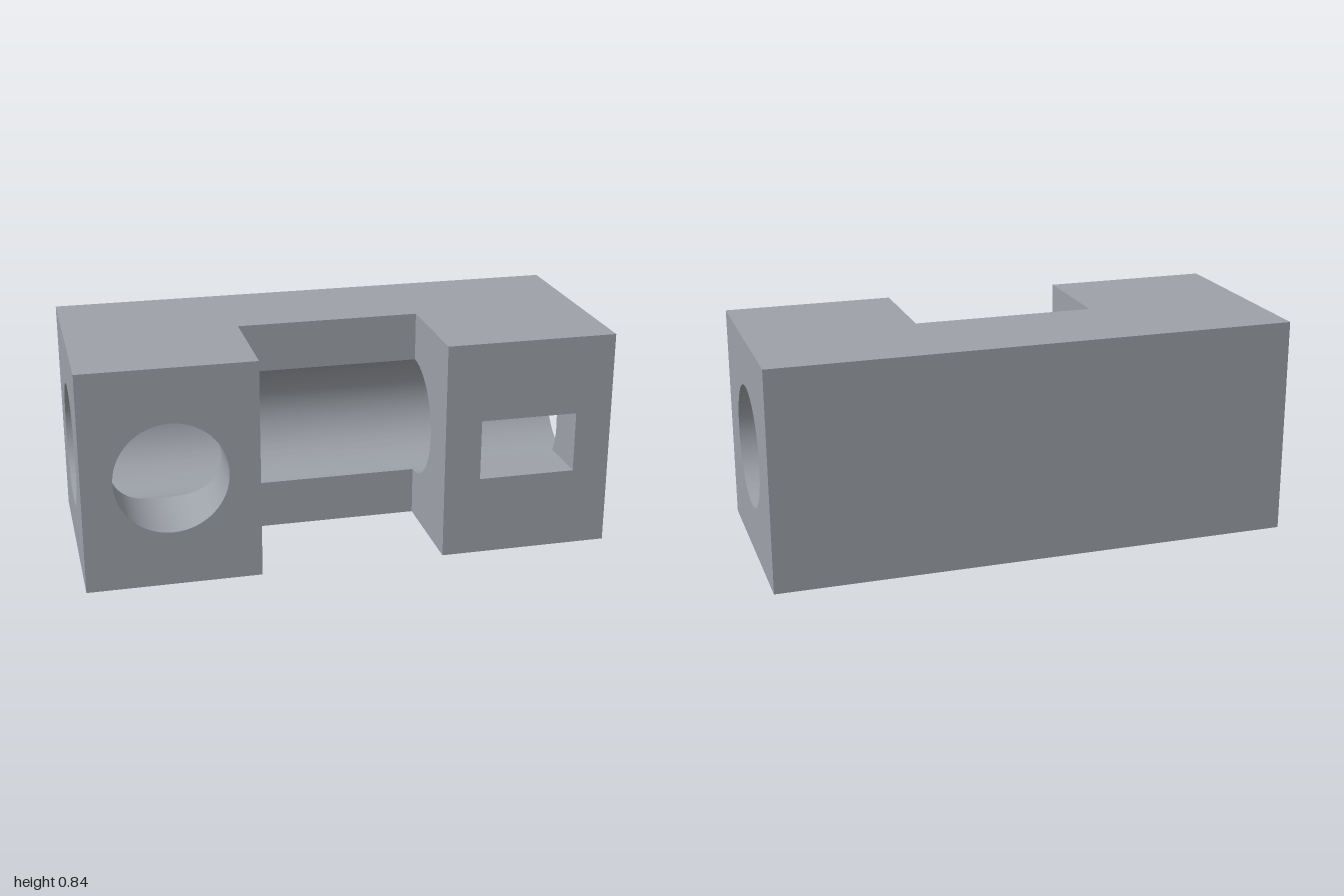
import * as THREE from 'three';
import { toCreasedNormals } from 'three/addons/utils/BufferGeometryUtils.js';

const L = 1;          // half length
const H = 0.4185;     // half height and half depth
const N = 0.349;      // half width of the front notch
const R = 0.2326;     // radius of the lengthwise bore
const C = 0.6745;     // distance of each front opening from the middle
const HOLE = 0.211;   // radius of the round opening
const WIN = { w: 0.186, h: 0.1163 }; // half size of the window
const SEG = 48;

const material = new THREE.MeshStandardMaterial({ color: 0x9da1a8 });
const X = new THREE.Vector3(1, 0, 0), Y = new THREE.Vector3(0, 1, 0), Z = new THREE.Vector3(0, 0, 1);
const neg = (v) => v.clone().negate();
const lerp = THREE.MathUtils.lerp;
const p2 = (x, y) => new THREE.Vector2(x, y);

const arc = (r, from, to, n, cx = 0) => Array.from({ length: n + 1 }, (_, i) => {
  const t = lerp(from, to, i / n);
  return p2(cx + r * Math.cos(t), r * Math.sin(t));
});
const rect = (x0, y0, x1, y1) => [p2(x0, y0), p2(x1, y0), p2(x1, y1), p2(x0, y1)];

// Flat face with optional hole, laid out on axes u and v and facing u x v
function panel(name, points, u, v, offset, hole) {
  const shape = new THREE.Shape(points);
  if (hole) shape.holes.push(new THREE.Path(hole));
  const n = new THREE.Vector3().crossVectors(u, v);
  const geo = new THREE.ShapeGeometry(shape);
  geo.applyMatrix4(new THREE.Matrix4().makeBasis(u, v, n).setPosition(n.clone().multiplyScalar(offset)));
  const mesh = new THREE.Mesh(geo, material);
  mesh.name = name;
  return mesh;
}

// Grid surface through f(i, j) -> [x, y, z]
function grid(nu, nv, f) {
  const pos = [], index = [];
  for (let i = 0; i <= nu; i++) for (let j = 0; j <= nv; j++) pos.push(...f(i, j));
  for (let i = 0; i < nu; i++) for (let j = 0; j < nv; j++) {
    const a = i * (nv + 1) + j, b = a + nv + 1;
    index.push(a, b, b + 1, a, b + 1, a + 1);
  }
  const geo = new THREE.BufferGeometry();
  geo.setAttribute('position', new THREE.Float32BufferAttribute(pos, 3));
  geo.setIndex(index);
  geo.computeVertexNormals();
  return geo;
}

// Patch of the bore: columns are [x, startAngle, endAngle], angles from +z up
function borePatch(name, columns, rows) {
  const geo = grid(columns.length - 1, rows, (i, j) => {
    const [x, a, b] = columns[i];
    const t = lerp(a, b, j / rows);
    return [x, R * Math.sin(t), R * Math.cos(t)];
  });
  const p = geo.attributes.position;
  for (let i = 0; i < p.count; i++) geo.attributes.normal.setXYZ(i, 0, -p.getY(i) / R, -p.getZ(i) / R);
  const mesh = new THREE.Mesh(geo, material);
  mesh.name = name;
  return mesh;
}

// Wall of a front opening, running back until it meets the bore
function openingWall(name, outline) {
  const geo = grid(outline.length - 1, 1, (i, j) => {
    const { x, y } = outline[i];
    return [x, y, j ? Math.sqrt(R * R - y * y) : H];
  });
  const mesh = new THREE.Mesh(toCreasedNormals(geo, 0.6), material);
  mesh.name = name;
  return mesh;
}

export function createModel() {
  const group = new THREE.Group();
  group.name = 'notchedBlock';
  const body = new THREE.Group();
  body.name = 'block';
  body.position.y = H;
  group.add(body);

  // Outer faces
  const square = rect(-H, -H, H, H);
  const boreCircle = arc(R, 0, Math.PI * 2, SEG).slice(0, -1);
  const uShape = [[-L, -H], [L, -H], [L, H], [N, H], [N, 0], [-N, 0], [-N, H], [-L, H]];
  body.add(
    panel('backFace', rect(-L, -H, L, H), neg(X), Y, H),
    panel('leftEnd', square, neg(Z), Y, L, boreCircle),
    panel('rightEnd', square, Z, Y, L, boreCircle),
    panel('topFace', uShape.map(([x, z]) => p2(x, -z)), X, neg(Z), H),
    panel('bottomFace', uShape.map(([x, z]) => p2(x, z)), X, Z, H),
  );

  // Notch: side walls cut by half the bore, and the two strips behind
  const side = [p2(0, -H), p2(H, -H), p2(H, H), p2(0, H), ...arc(R, Math.PI / 2, -Math.PI / 2, SEG / 2)];
  body.add(
    panel('notchLeftWall', side, Z, Y, -N),
    panel('notchRightWall', side.map((p) => p2(-p.x, p.y)), neg(Z), Y, -N),
    panel('notchUpperStrip', rect(-N, R, N, H), X, Y, 0),
    panel('notchLowerStrip', rect(-N, -H, N, -R), X, Y, 0),
  );

  // Front faces with the round opening and the window
  const round = arc(HOLE, 0, Math.PI * 2, 64, -C);
  const corners = rect(C - WIN.w, -WIN.h, C + WIN.w, WIN.h);
  const windowOutline = [];
  corners.forEach((p, k) => {
    for (let i = 0; i < 12; i++) windowOutline.push(p.clone().lerp(corners[(k + 1) % 4], i / 12));
  });
  windowOutline.push(corners[0].clone());
  body.add(
    panel('rightFrontFace', rect(-L, -H, -N, H), X, Y, H, round.slice(0, -1)),
    panel('leftFrontFace', rect(N, -H, L, H), X, Y, H, corners),
    openingWall('roundOpening', round),
    openingWall('windowOpening', windowOutline),
  );

  // Bore: full-length back half, then the front halves trimmed by the openings
  const q = Math.PI / 2;
  body.add(borePatch('boreBack', [[-L, 3 * q, q], [L, 3 * q, q]], SEG / 2));
  const roundEdge = arc(HOLE, Math.PI, 0, 32, -C).map((p) => [p.x, Math.asin(Math.max(0, p.y) / R)]);
  const winAngle = Math.asin(WIN.h / R);
  const edges = {
    boreRight: [[-L, 0], ...roundEdge, [-N, 0]],
    boreLeftInner: [[N, 0], [C - WIN.w, 0]],
    boreAtWindow: [[C - WIN.w, winAngle], [C + WIN.w, winAngle]],
    boreLeftOuter: [[C + WIN.w, 0], [L, 0]],
  };
  for (const [name, edge] of Object.entries(edges)) {
    body.add(
      borePatch(name + 'Upper', edge.map(([x, a]) => [x, q, a]), SEG / 4),
      borePatch(name + 'Lower', edge.map(([x, a]) => [x, -a, -q]), SEG / 4),
    );
  }
  return group;
}
